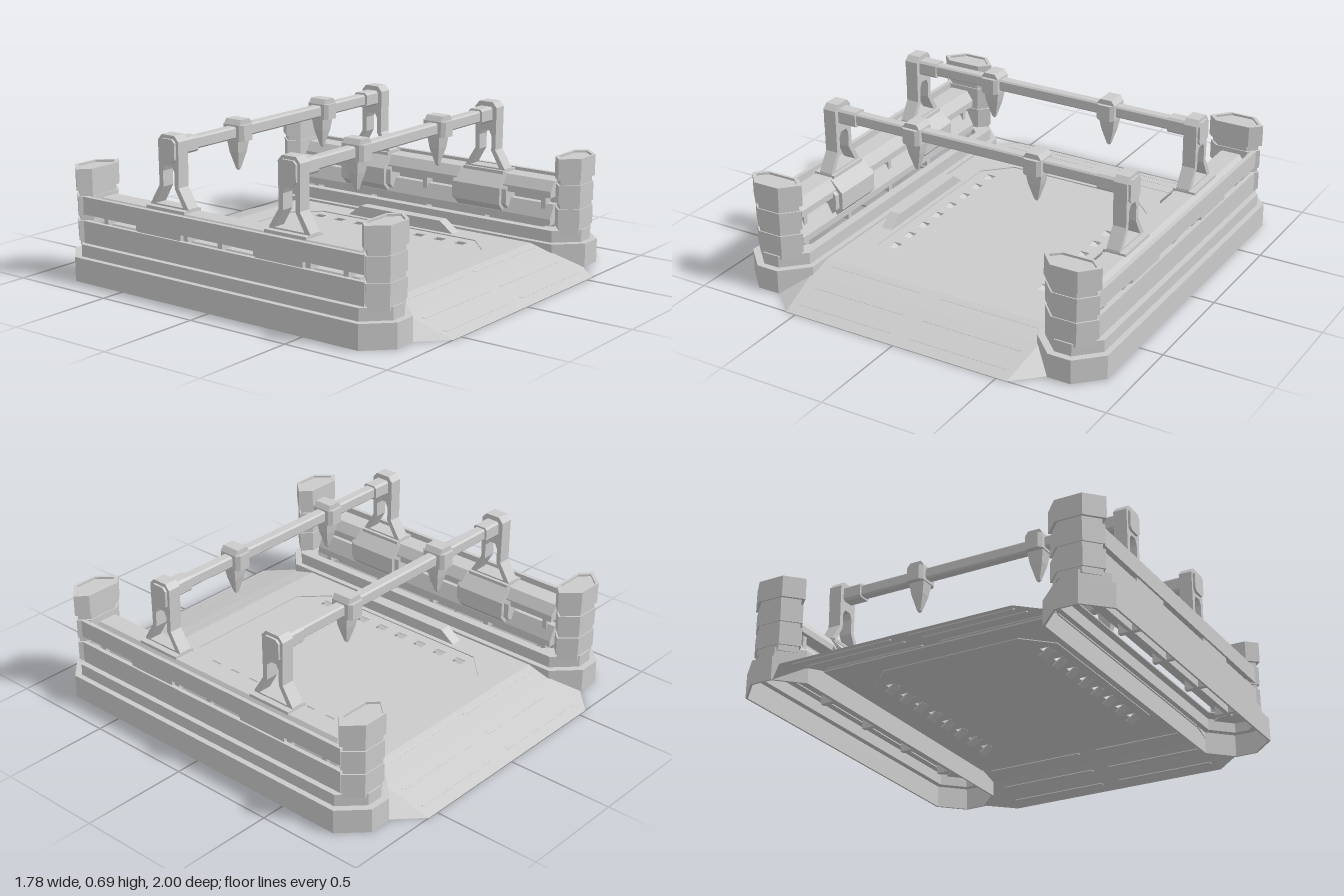
import * as THREE from 'three';

const mat = new THREE.MeshStandardMaterial({ color: 0xcccccc, flatShading: true, side: THREE.DoubleSide });

function add(parent, geo, name, x = 0, y = 0, z = 0) {
  const m = new THREE.Mesh(geo, mat);
  m.name = name;
  m.position.set(x, y, z);
  parent.add(m);
  return m;
}
const box = (p, name, x0, x1, y0, y1, z0, z1) =>
  add(p, new THREE.BoxGeometry(x1 - x0, y1 - y0, z1 - z0), name, (x0 + x1) / 2, (y0 + y1) / 2, (z0 + z1) / 2);

const toVecs = pts => pts.map(([a, b]) => new THREE.Vector2(a, b));
function shapeOf(pts, holes = []) {
  const s = new THREE.Shape(toVecs(pts));
  holes.forEach(h => s.holes.push(new THREE.Path(toVecs(h))));
  return s;
}
// Upright prism from a plan outline of [x, z] points
function prism(parent, name, pts, y0, y1, holes = []) {
  const flip = ps => ps.map(([x, z]) => [x, -z]);
  const g = new THREE.ExtrudeGeometry(shapeOf(flip(pts), holes.map(flip)), { depth: y1 - y0, bevelEnabled: false });
  return add(parent, g.rotateX(-Math.PI / 2), name, 0, y0, 0);
}
// Rectangle with cut corners, centred on (cx, cz)
function chamfered(cx, cz, hx, hz, c) {
  return [[hx, hz - c], [hx - c, hz], [c - hx, hz], [-hx, hz - c], [-hx, c - hz], [c - hx, -hz], [hx - c, -hz], [hx, c - hz]]
    .map(([x, z]) => [cx + x, cz + z]);
}
// Prism along z from an [x, y] section, or along x from a [z, y] section
function alongZ(parent, name, pts, z0, z1) {
  return add(parent, new THREE.ExtrudeGeometry(shapeOf(pts), { depth: z1 - z0, bevelEnabled: false }), name, 0, 0, z0);
}
function alongX(parent, name, pts, x0, x1, holes = []) {
  const flip = ps => ps.map(([z, y]) => [-z, y]);
  const g = new THREE.ExtrudeGeometry(shapeOf(flip(pts), holes.map(flip)), { depth: x1 - x0, bevelEnabled: false });
  return add(parent, g.rotateY(Math.PI / 2), name, x0, 0, 0);
}

// Floor with a recessed panel, louvres, curbs and sloped ends
function makeDeck() {
  const deck = new THREE.Group();
  deck.name = 'deck';
  const panel = chamfered(0, 0, 0.45, 0.56, 0.12);
  prism(deck, 'floor', [[-0.58, -0.67], [0.58, -0.67], [0.58, 0.67], [-0.58, 0.67]], 0.094, 0.1, [panel]);

  const slots = [];
  for (const s of [-1, 1]) {
    for (let i = 0; i < 8; i++) {
      const z = -0.406 + i * 0.116, x = s * 0.382;
      slots.push([[x - 0.02, z - 0.025], [x + 0.02, z - 0.025], [x + 0.02, z + 0.025], [x - 0.02, z + 0.025]]);
      const louvre = box(deck, 'louvre', x - 0.028, x + 0.028, 0.073, 0.078, z - 0.027, z + 0.027);
      louvre.rotation.z = -0.6;
    }
    // curb with sloped ends
    alongX(deck, 'curb', [[-0.3, 0.1], [0.3, 0.1], [0.23, 0.152], [-0.23, 0.152]], s * 0.5 - 0.027, s * 0.5 + 0.027);
  }
  prism(deck, 'recessedPanel', panel, 0.09, 0.095, slots);

  for (const turn of [0, Math.PI]) {
    const ramp = new THREE.Group();
    ramp.name = 'ramp';
    ramp.rotation.y = turn;
    deck.add(ramp);
    const rows = [[0.58, 0.1, 0.67], [0.575, 0.07, 0.78], [0.55, 0, 1], [0.675, 0, 0.88]];
    const p = rows.flatMap(([x, y, z]) => [[-x, y, z], [x, y, z]]);
    const g = new THREE.BufferGeometry();
    g.setAttribute('position', new THREE.Float32BufferAttribute(p.flat(), 3));
    g.setIndex([0, 2, 3, 0, 3, 1, 2, 4, 5, 2, 5, 3, 3, 5, 7, 2, 6, 4]);
    g.computeVertexNormals();
    add(ramp, g, 'rampSurface');
    for (const [z, y] of [[0.7, 0.09], [0.835, 0.0505], [0.94, 0.017]]) {
      for (const x of [-0.285, 0.285]) {
        const strip = add(ramp, new THREE.BoxGeometry(0.48, 0.006, 0.016), 'treadStrip', x, y, z);
        strip.rotation.x = 0.3;
      }
    }
  }
  return deck;
}

// Banded corner post, s = end of the wall
function makePost(parent, s) {
  const post = new THREE.Group();
  post.name = 'cornerPost';
  parent.add(post);
  const cx = 0.727, cz = 0.802;
  const outline = k => [[0.595, 0.785], [0.665, 0.862], [0.79, 0.862], [0.86, 0.785], [0.81, 0.738], [0.645, 0.738]]
    .map(([x, z]) => [cx + (x - cx) * k, s * (cz + (z - cz) * k)]);
  prism(post, 'postCore', outline(0.86), 0.15, 0.42);
  prism(post, 'lowerBand', outline(0.94), 0.178, 0.265);
  prism(post, 'upperBand', outline(0.94), 0.288, 0.375);
  prism(post, 'capBlock', outline(1), 0.402, 0.49);
  prism(post, 'capRim', outline(1), 0.49, 0.5, [outline(0.82)]);
}

// Side wall on the +x side: thin hollow base, slats, spine, drums, posts
function makeWall() {
  const wall = new THREE.Group();
  wall.name = 'sideWall';
  const cx = 0.727;
  const baseOutline = chamfered(cx, 0, 0.163, 0.89, 0.11);
  const ledgeOutline = chamfered(cx, 0, 0.137, 0.86, 0.098);
  const ledgeInside = chamfered(cx, 0, 0.127, 0.85, 0.094);
  prism(wall, 'baseSkirt', baseOutline, 0, 0.104, [chamfered(cx, 0, 0.154, 0.881, 0.106)]);
  prism(wall, 'baseTop', baseOutline, 0.104, 0.11, [ledgeInside]);
  prism(wall, 'ledgeSkirt', ledgeOutline, 0.11, 0.159, [ledgeInside]);
  prism(wall, 'ledgeTop', ledgeOutline, 0.159, 0.165, [chamfered(cx, 0, 0.095, 0.73, 0.04)]);
  for (const s of [-1, 1]) makePost(wall, s);

  for (const [y0, y1] of [[0.165, 0.265], [0.295, 0.375]]) {
    box(wall, 'outerSlat', 0.818, 0.838, y0, y1, -0.77, 0.77);
    // spine with chamfered upper edges
    alongZ(wall, 'spine', [[0.66, y0], [0.818, y0], [0.818, y0 + 0.03], [0.782, y1 - 0.005], [0.692, y1 - 0.005], [0.66, y0 + 0.03]], -0.71, 0.71);
  }
  // web and ribs closing the gap between the slats
  box(wall, 'web', 0.725, 0.745, 0.12, 0.32, -0.7, 0.7);
  for (let i = -2; i <= 2; i++) box(wall, 'rib', 0.68, 0.81, 0.12, 0.3, i * 0.33 - 0.012, i * 0.33 + 0.012);

  for (const z of [-0.33, 0.33]) {
    alongZ(wall, 'drum', chamfered(0.728, 0.27, 0.1, 0.095, 0.055), z - 0.125, z + 0.125);
    alongZ(wall, 'drumCollar', chamfered(0.728, 0.27, 0.082, 0.08, 0.045), z - 0.15, z + 0.15);
    makeLeg(wall, z);
  }
  return wall;
}

// Splayed leg carrying one end of a crossbar
function makeLeg(parent, z) {
  const leg = new THREE.Group();
  leg.name = 'gantryLeg';
  leg.position.z = z;
  parent.add(leg);
  const half = [[0.108, 0.37], [0.108, 0.385], [0.055, 0.47], [0.058, 0.67], [0.036, 0.695]];
  const mirror = h => [...h, ...h.slice().reverse().map(([a, b]) => [-a, b])];
  alongX(leg, 'legFrame', mirror(half), 0.695, 0.757, [mirror([[0.078, 0.387], [0.033, 0.465], [0.033, 0.535], [0.02, 0.56]])]);
  alongX(leg, 'outerCap', chamfered(0, 0.628, 0.044, 0.052, 0.015), 0.757, 0.768);
  box(leg, 'footPlate', 0.68, 0.785, 0.365, 0.38, -0.11, 0.11);
}

// Crossbar with end sleeves, carriages and hanging spikes
function makeCrossbar(z) {
  const bar = new THREE.Group();
  bar.name = 'crossbar';
  bar.position.z = z;
  alongX(bar, 'beam', chamfered(0, 0.638, 0.026, 0.027, 0.007), -0.72, 0.72);
  for (const s of [-1, 1]) {
    const x = s * 0.675;
    alongX(bar, 'sleeve', chamfered(0, 0.638, 0.036, 0.035, 0.01), x - 0.07, x + 0.07);
    const c = s * 0.303;
    prism(bar, 'carriage', chamfered(c, 0, 0.044, 0.06, 0.016), 0.6, 0.672);
    alongZ(bar, 'carriageTop', [[c - 0.044, 0.672], [c + 0.044, 0.672], [c + 0.028, 0.695], [c - 0.028, 0.695]], -0.044, 0.044);
    // spike: four-sided taper
    const spike = add(bar, new THREE.LatheGeometry(
      toVecs([[0, 0.458], [0.012, 0.468], [0.042, 0.545], [0.054, 0.6], [0, 0.605]]), 4, Math.PI / 4), 'spike', c, 0, 0);
    spike.scale.z = 0.85;
  }
  return bar;
}

export function createModel() {
  const model = new THREE.Group();
  model.name = 'platform';
  model.add(makeDeck());
  for (const turn of [0, Math.PI]) {
    const wall = makeWall();
    wall.rotation.y = turn;
    model.add(wall);
  }
  for (const z of [-0.33, 0.33]) model.add(makeCrossbar(z));
  return model;
}
